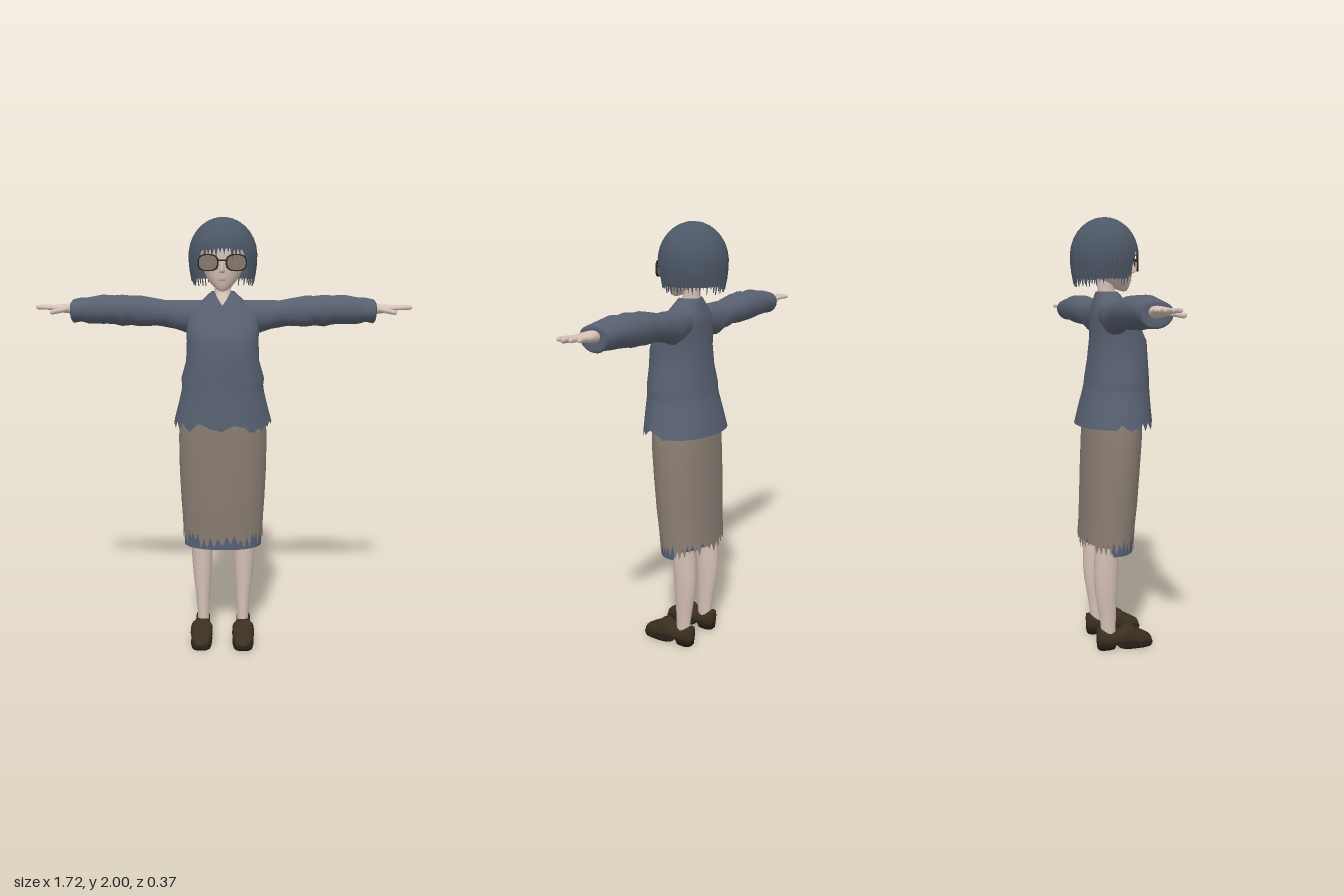
import * as THREE from 'three';

const mat = (name, color, side = THREE.FrontSide) => {
  const m = new THREE.MeshStandardMaterial({ color, side });
  m.name = name;
  return m;
};
const hash = (i) => { const s = Math.sin(i * 127.1 + 3.7) * 43758.5453; return s - Math.floor(s); };

// Skin through cross-sections; ring = [position on axis, uMin, uMax, vMin, vMax]
function loft(axis, rings, n = 32, power = 1, warp = null) {
  const pos = [], idx = [];
  const bend = (v) => Math.sign(v) * Math.abs(v) ** power;
  rings.forEach(([t, u0, u1, v0, v1], i) => {
    for (let j = 0; j < n; j++) {
      let a = (j / n) * Math.PI * 2;
      if (a > Math.PI) a -= Math.PI * 2;
      const s = bend(Math.sin(a)) * (axis === 'y' ? 1 : -1);
      const u = (u0 + u1) / 2 + ((u1 - u0) / 2) * s;
      const v = (v0 + v1) / 2 + ((v1 - v0) / 2) * bend(Math.cos(a));
      const p = axis === 'y' ? new THREE.Vector3(u, t, v)
        : axis === 'x' ? new THREE.Vector3(t, u, v) : new THREE.Vector3(u, v, t);
      if (warp) warp(p, a, i, j);
      pos.push(p.x, p.y, p.z);
      if (i < rings.length - 1) {
        const k = (j + 1) % n, b = i * n, c = b + n;
        idx.push(b + j, b + k, c + k, b + j, c + k, c + j);
      }
    }
  });
  const g = new THREE.BufferGeometry();
  g.setAttribute('position', new THREE.Float32BufferAttribute(pos, 3));
  g.setIndex(idx);
  g.computeVertexNormals();
  return g;
}
// Symmetric body ring: [y, half width, back, front]
const body = (list) => list.map(([y, w, b, f]) => [y, -w, w, b, f]);

function mirrored(geo) {
  const g = geo.clone().scale(-1, 1, 1);
  const n = g.attributes.position.count;
  const ix = g.index ? Array.from(g.index.array) : Array.from({ length: n }, (_, i) => i);
  for (let i = 0; i < ix.length; i += 3) [ix[i], ix[i + 1]] = [ix[i + 1], ix[i]];
  g.setIndex(ix);
  return g;
}

// Rounded rod between two points
function rod(a, b, r) {
  const from = new THREE.Vector3(...a), to = new THREE.Vector3(...b);
  const d = to.clone().sub(from);
  const q = new THREE.Quaternion().setFromUnitVectors(new THREE.Vector3(0, 1, 0), d.clone().normalize());
  const mid = from.add(to).multiplyScalar(0.5);
  return new THREE.CapsuleGeometry(r, d.length(), 4, 10).applyQuaternion(q).translate(mid.x, mid.y, mid.z);
}

// Bob hair: radius by height, lower edge by angle (0 = front)
const hairRadius = (y) => y > 1.83
  ? 0.153 * Math.sqrt(Math.max(0, 1 - ((y - 1.83) / 0.17) ** 2)) : 0.153 - (1.83 - y) ** 2;
const hairEdge = (a) => 1.835 - 0.13 * THREE.MathUtils.smoothstep(Math.abs(a), 0.62, 1.0);
const hairPoint = (a, y, k = 1) => {
  const r = hairRadius(y) * k;
  return [r * Math.sin(a), y, -0.025 + r * Math.cos(a)];
};
function hairLock(a, width, bottom, k) {
  const pos = [], idx = [], rows = 10;
  for (let i = 0; i <= rows; i++) {
    const s = i / rows, y = 2 - (2 - bottom) * s ** 1.7;
    const w = width * (s < 0.7 ? 1 : 1 - ((s - 0.7) / 0.3) ** 1.5);
    pos.push(...hairPoint(a - w, y, k - 0.03), ...hairPoint(a, y, k + 0.01), ...hairPoint(a + w, y, k - 0.03));
    if (i < rows) for (let j = 0; j < 2; j++) {
      const b = i * 3 + j, c = b + 3;
      idx.push(b, c, c + 1, b, c + 1, b + 1);
    }
  }
  const g = new THREE.BufferGeometry();
  g.setAttribute('position', new THREE.Float32BufferAttribute(pos, 3));
  g.setIndex(idx);
  g.computeVertexNormals();
  return g;
}

// Rounded lens outline, optionally hollow
function lensShape(grow) {
  const s = new THREE.Shape(), pts = [];
  for (let i = 0; i < 32; i++) {
    const a = (i / 32) * Math.PI * 2, c = Math.cos(a), n = Math.sin(a);
    pts.push(new THREE.Vector2((0.044 + grow) * Math.sign(c) * Math.abs(c) ** 0.75,
      (0.033 + grow) * Math.sign(n) * Math.abs(n) ** 0.75));
  }
  return s.setFromPoints(pts);
}

export function createModel() {
  const model = new THREE.Group();
  const D = THREE.DoubleSide;
  const skin = mat('skin', 0xd6c2b7), knit = mat('slate knit', 0x586070, D), hairMat = mat('hair', 0x4d5867, D);
  const skirtMat = mat('taupe cloth', 0x8a7e74, D), slipMat = mat('blue lining', 0x566177, D);
  const leather = mat('brown leather', 0x3a2f20), soleMat = mat('dark sole', 0x241c14);
  const lensMat = mat('tinted lens', 0x85796d, D), frameMat = mat('frame', 0x2a2522), lip = mat('lip', 0xa98a80);
  const add = (name, geo, m, parent = model) => {
    const mesh = new THREE.Mesh(geo, m);
    mesh.name = name;
    parent.add(mesh);
    return mesh;
  };
  const pair = (name, geo, m) => {
    add(name + 'Left', geo, m);
    add(name + 'Right', mirrored(geo), m);
  };

  // Sweater body with uneven hem and V neckline
  const torso = body([[1.075, 0.226, -0.16, 0.188], [1.15, 0.207, -0.14, 0.183], [1.22, 0.19, -0.122, 0.178],
    [1.25, 0.186, -0.115, 0.177], [1.28, 0.19, -0.112, 0.175], [1.36, 0.167, -0.1, 0.172],
    [1.45, 0.163, -0.09, 0.165], [1.5, 0.165, -0.088, 0.14], [1.56, 0.163, -0.088, 0.102],
    [1.6, 0.13, -0.085, 0.085], [1.672, 0.052, -0.064, 0.04]]);
  add('sweaterBody', loft('y', torso, 56, 0.92, (p, a, i, j) => {
    if (i === 0) p.y += Math.abs(a) < 1.7 ? (hash(j) - 0.55) * 0.045 : -0.01;
    if (i === torso.length - 1) {
      const v = Math.max(0, 1 - Math.abs(a) / 0.75);
      p.y -= 0.062 * v;
      p.z += 0.042 * v;
    }
  }), knit);

  // Sleeves with soft folds
  pair('sleeve', loft('x', [[0.08, 1.51, 1.63, -0.078, 0.06], [0.17, 1.485, 1.632, -0.085, 0.05],
    [0.22, 1.5, 1.63, -0.085, 0.042], [0.26, 1.51, 1.632, -0.088, 0.042], [0.3, 1.515, 1.637, -0.09, 0.045],
    [0.38, 1.512, 1.652, -0.098, 0.05], [0.42, 1.518, 1.651, -0.098, 0.06], [0.46, 1.514, 1.656, -0.1, 0.065],
    [0.5, 1.522, 1.652, -0.098, 0.06], [0.55, 1.523, 1.655, -0.098, 0.06], [0.62, 1.528, 1.645, -0.092, 0.055],
    [0.65, 1.532, 1.64, -0.09, 0.05], [0.685, 1.53, 1.638, -0.09, 0.052], [0.692, 1.54, 1.628, -0.08, 0.042],
    [0.685, 1.575, 1.6, -0.04, 0.0]], 28, 0.95, (p, a) => {
    p.y += 0.003 * Math.sin(p.x * 75 + a * 2);
  }), knit);

  // Hands
  pair('palm', loft('x', [[0.66, 1.568, 1.615, -0.048, 0.012], [0.7, 1.57, 1.615, -0.052, 0.015],
    [0.74, 1.575, 1.612, -0.064, 0.024], [0.775, 1.583, 1.609, -0.067, 0.022], [0.795, 1.588, 1.606, -0.06, 0.015],
    [0.797, 1.597, 1.597, -0.02, -0.02]], 20, 0.85), skin);
  [[-0.057, -0.07, 0.826], [-0.034, -0.042, 0.843], [-0.01, -0.012, 0.85], [0.013, 0.018, 0.84]].forEach(([z0, z1, x], i) =>
    pair('finger' + (i + 1), rod([0.775, 1.597, z0], [x, 1.6, z1], 0.0095), skin));
  pair('thumb', rod([0.715, 1.59, 0.012], [0.768, 1.58, 0.06], 0.011), skin);

  // Skirt with torn hem over a lining
  add('skirt', loft('y', body([[0.52, 0.19, -0.146, 0.1], [0.6, 0.192, -0.142, 0.108], [0.7, 0.198, -0.138, 0.118],
    [0.85, 0.204, -0.133, 0.128], [1.0, 0.205, -0.127, 0.138], [1.1, 0.2, -0.12, 0.14],
    [1.2, 0.17, -0.1, 0.14]]), 72, 0.9, (p, a, i, j) => {
    if (i === 0) p.y += (j % 2 ? 0.035 * hash(j) : -0.048 * hash(j + 40));
  }), skirtMat);
  add('skirtLining', loft('y', body([[0.472, 0.184, -0.13, 0.096], [0.52, 0.185, -0.132, 0.097],
    [0.6, 0.187, -0.136, 0.103]]), 48, 0.9, (p, a, i) => {
    if (i === 0 && Math.abs(a) > 1.75) p.y = 0.515;
  }), slipMat);

  // Legs
  pair('leg', loft('y', [[0.03, 0.072, 0.122, -0.07, 0.0], [0.12, 0.068, 0.126, -0.073, 0.0],
    [0.2, 0.064, 0.133, -0.086, 0.002], [0.28, 0.058, 0.143, -0.1, 0.005], [0.36, 0.053, 0.15, -0.106, 0.009],
    [0.44, 0.052, 0.154, -0.104, 0.012], [0.52, 0.051, 0.158, -0.1, 0.016], [0.75, 0.02, 0.17, -0.1, 0.06],
    [1.0, 0.01, 0.17, -0.09, 0.09], [1.0, 0.09, 0.09, 0, 0]], 24), skin);

  // Loafers: upper, strap, sole and heel
  pair('shoeUpper', loft('z', [[-0.091, 0.1, 0.1, 0.055, 0.055], [-0.088, 0.075, 0.125, 0.02, 0.1],
    [-0.07, 0.066, 0.134, 0.015, 0.098], [-0.03, 0.065, 0.135, 0.018, 0.08], [0.02, 0.06, 0.14, 0.018, 0.085],
    [0.05, 0.055, 0.146, 0.014, 0.106], [0.07, 0.052, 0.148, 0.01, 0.104], [0.1, 0.05, 0.15, 0.008, 0.084],
    [0.145, 0.056, 0.144, 0.008, 0.06], [0.17, 0.07, 0.13, 0.009, 0.045], [0.181, 0.1, 0.1, 0.025, 0.025]], 24, 0.75), leather);
  pair('shoeStrap', loft('z', [[0.066, 0.054, 0.146, 0.012, 0.1], [0.068, 0.048, 0.152, 0.012, 0.11],
    [0.092, 0.047, 0.153, 0.012, 0.094], [0.094, 0.052, 0.148, 0.012, 0.085]], 24, 0.75), leather);
  pair('sole', loft('y', [[0, 0.1, 0.1, 0.1, 0.1], [0, 0.052, 0.148, 0.015, 0.178], [0.014, 0.049, 0.151, 0.0, 0.183],
    [0.018, 0.1, 0.1, 0.1, 0.1]], 28, 0.7), soleMat);
  pair('heel', loft('y', [[0, 0.1, 0.1, -0.05, -0.05], [0, 0.066, 0.134, -0.088, -0.005], [0.03, 0.064, 0.136, -0.092, 0.01],
    [0.03, 0.1, 0.1, -0.05, -0.05]], 24, 0.7), soleMat);

  // Neck and upper chest
  add('neck', loft('y', body([[1.56, 0.07, -0.06, 0.07], [1.6, 0.06, -0.055, 0.07], [1.635, 0.046, -0.055, 0.052],
    [1.66, 0.039, -0.056, 0.03], [1.69, 0.037, -0.057, 0.02], [1.76, 0.04, -0.06, 0.03]]), 28), skin);

  // Head, nose and mouth
  add('head', loft('y', body([[1.672, 0, 0.068, 0.068], [1.675, 0.014, 0.05, 0.08], [1.688, 0.034, 0.015, 0.088],
    [1.71, 0.056, -0.03, 0.095], [1.74, 0.076, -0.08, 0.101], [1.775, 0.09, -0.115, 0.105], [1.82, 0.1, -0.135, 0.108],
    [1.87, 0.104, -0.14, 0.11], [1.92, 0.095, -0.12, 0.09], [1.955, 0.05, -0.07, 0.04], [1.96, 0, -0.02, -0.02]]), 32, 0.95), skin);
  add('nose', loft('y', body([[1.752, 0, 0.1, 0.1], [1.757, 0.013, 0.09, 0.118], [1.765, 0.011, 0.09, 0.13],
    [1.79, 0.007, 0.09, 0.117], [1.82, 0.005, 0.09, 0.108]]), 12), skin);
  add('mouth', new THREE.BoxGeometry(0.034, 0.005, 0.006).translate(0, 1.722, 0.097), lip);

  // Glasses
  const rim = lensShape(0.004);
  rim.holes.push(lensShape(-0.001));
  const place = (g) => g.rotateY(0.3).translate(0.061, 1.798, 0.108);
  pair('lens', place(new THREE.ShapeGeometry(lensShape(0)).translate(0, 0, 0.004)), lensMat);
  pair('glassesRim', place(new THREE.ExtrudeGeometry(rim, { depth: 0.008, bevelEnabled: false })), frameMat);
  pair('glassesArm', rod([0.104, 1.81, 0.095], [0.115, 1.805, -0.01], 0.004), frameMat);
  add('glassesBridge', rod([-0.018, 1.808, 0.122], [0.018, 1.808, 0.122], 0.004), frameMat);

  // Hair: under-cap plus overlapping pointed locks
  const hair = new THREE.Group();
  hair.name = 'hair';
  model.add(hair);
  const capRows = Array.from({ length: 14 }, (_, i) => [1 - i / 13, 0, 0, 0, 0]);
  add('hairCap', loft('y', capRows, 64, 1, (p, a) => {
    p.set(...hairPoint(a, 2 - (2 - hairEdge(a) - 0.022) * p.y ** 1.7, 0.965));
  }), hairMat, hair);
  const locks = 52;
  for (let i = 0; i < locks; i++) {
    const a = ((i + 0.5) / locks) * Math.PI * 2 - Math.PI;
    const drop = Math.abs(a) < 0.6 ? -0.025 + 0.035 * hash(i) : -0.012 + 0.03 * hash(i);
    add('hairLock', hairLock(a, 0.085 + 0.03 * hash(i + 9), hairEdge(a) + drop, 0.99 + 0.025 * hash(i + 21)), hairMat, hair);
  }
  return model;
}
